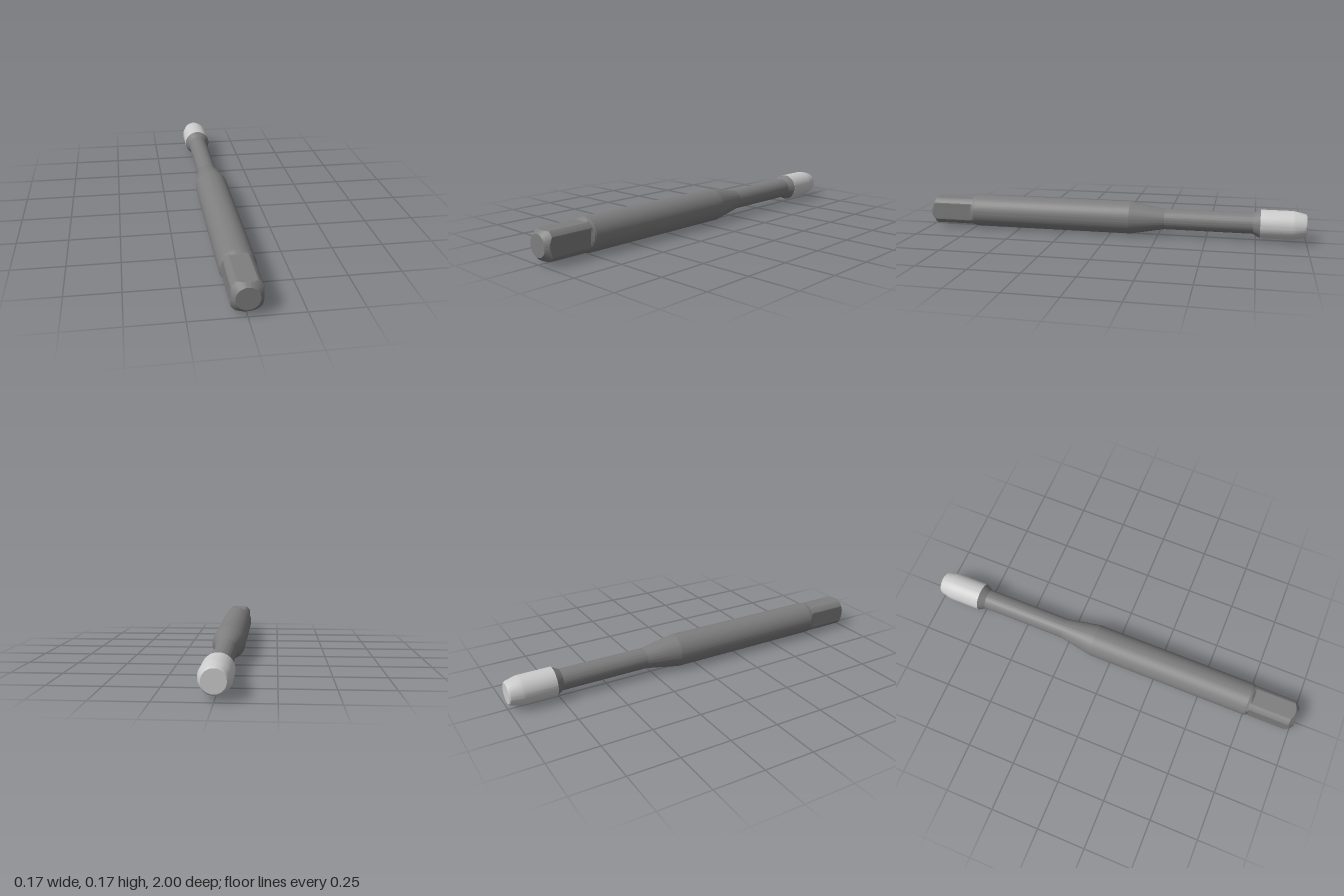
import * as THREE from 'three';
import { toCreasedNormals } from 'three/addons/utils/BufferGeometryUtils.js';

const AXIS_Y = 0.085;
const FLAT = 0.069; // half the width across the flats of the square drive

// Turns [radius, z] pairs (rising z) about the z axis; shape(v) may move vertices.
function turned(name, color, profile, shape) {
  const points = profile.map(([r, z]) => new THREE.Vector2(r, z));
  const lathe = new THREE.LatheGeometry(points, 96);
  if (shape) {
    const pos = lathe.attributes.position;
    const v = new THREE.Vector3();
    for (let i = 0; i < pos.count; i++) {
      shape(v.fromBufferAttribute(pos, i));
      pos.setXYZ(i, v.x, v.y, v.z);
    }
  }
  lathe.rotateX(Math.PI / 2);
  const mesh = new THREE.Mesh(
    toCreasedNormals(lathe, 0.14),
    new THREE.MeshStandardMaterial({ color })
  );
  mesh.name = name;
  return mesh;
}

export function createModel() {
  const group = new THREE.Group();
  group.name = 'toolShank';

  // Shank: flared neck, thin stem, long taper, thick body and drive end
  const profile = [
    [0, -0.77], [0.072, -0.77], [0.053, -0.735], [0.053, -0.285],
    [0.085, -0.105], [0.085, 0.745], [0.082, 0.755], [0.082, 0.768],
  ];
  // Chamfered end, in several rings so that the flats cut it in a curve
  for (let i = 0; i <= 8; i++) {
    profile.push([0.082 - 0.029 * i / 8, 0.972 + 0.028 * i / 8]);
  }
  profile.push([0, 1]);

  // Four flats milled into the drive end
  const millFlats = (v) => {
    if (v.y < 0.76) return;
    v.x = THREE.MathUtils.clamp(v.x, -FLAT, FLAT);
    v.z = THREE.MathUtils.clamp(v.z, -FLAT, FLAT);
  };
  group.add(turned('shank', 0x7e7e7e, profile, millFlats));

  // Pale tip with a tapered nose
  group.add(turned('tip', 0xcccccc, [
    [0, -1], [0.052, -1], [0.058, -0.994], [0.061, -0.985],
    [0.071, -0.942], [0.0725, -0.93], [0.0725, -0.77], [0, -0.77],
  ]));

  group.position.y = AXIS_Y;
  const model = new THREE.Group();
  model.name = 'model';
  model.add(group);
  return model;
}
